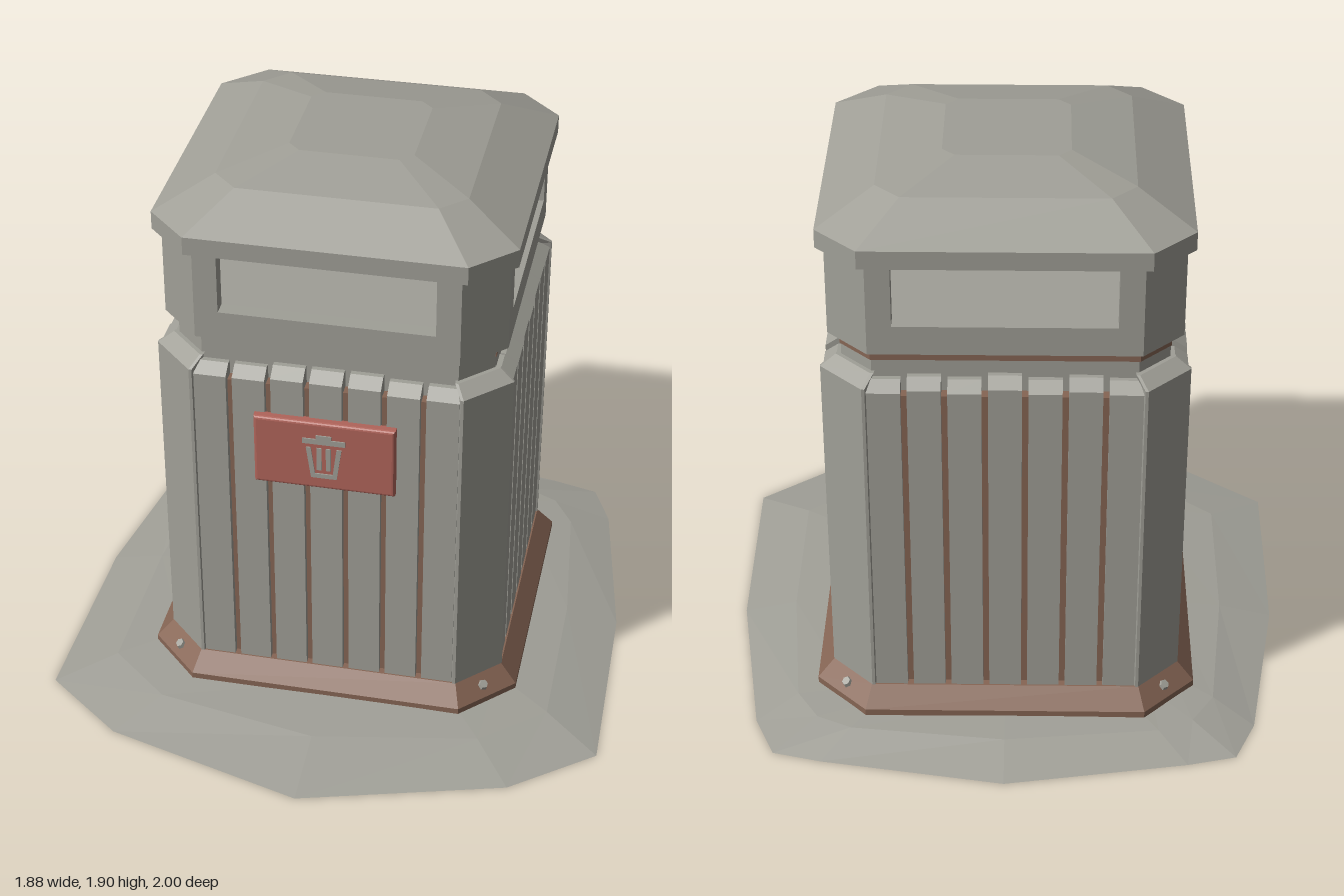
import * as THREE from 'three';

const grey = new THREE.MeshStandardMaterial({ color: 0xa09f97 });
grey.name = 'weathered grey';
const brown = new THREE.MeshStandardMaterial({ color: 0x866554 });
brown.name = 'rust brown';
const red = new THREE.MeshStandardMaterial({ color: 0xb0645a });
red.name = 'sign red';

// Flat-shaded skin through rings of { pts: [x, -z] points, y }
function loft(rings, caps = true) {
  const pos = [];
  const v = (r, i) => {
    const p = r.pts[i % r.pts.length];
    return [p[0], r.y, -p[1]];
  };
  const tri = (a, b, c) => pos.push(...a, ...b, ...c);
  const n = rings[0].pts.length;
  for (let k = 0; k < rings.length - 1; k++) {
    const lo = rings[k], hi = rings[k + 1];
    for (let i = 0; i < n; i++) {
      tri(v(lo, i), v(lo, i + 1), v(hi, i + 1));
      tri(v(lo, i), v(hi, i + 1), v(hi, i));
    }
  }
  if (caps) {
    const lo = rings[0], hi = rings[rings.length - 1];
    for (let i = 1; i < n - 1; i++) {
      tri(v(lo, 0), v(lo, i + 1), v(lo, i));
      tri(v(hi, 0), v(hi, i), v(hi, i + 1));
    }
  }
  const g = new THREE.BufferGeometry();
  g.setAttribute('position', new THREE.Float32BufferAttribute(pos, 3));
  g.computeVertexNormals();
  return g;
}

// Square of half width h with its corners cut by c
const octagon = (h, c, y) => {
  const f = h - c;
  return { y, pts: [[h, -f], [h, f], [f, h], [-f, h], [-h, f], [-h, -f], [-f, -h], [f, -h]] };
};
const octLoft = (...rows) => loft(rows.map((r) => octagon(...r)));
const rect = (x0, x1, z0, z1, y) => ({ y, pts: [[x0, -z1], [x1, -z1], [x1, -z0], [x0, -z0]] });

function add(parent, name, geometry, material) {
  const m = new THREE.Mesh(geometry, material);
  m.name = name;
  parent.add(m);
  return m;
}

// Low mound of earth around the bin, flat underneath
function makeGround(cz) {
  const half = [[0, 1], [0.67, 0.81], [0.94, 0.6], [0.928, -0.1], [0.83, -0.7], [0.76, -0.86], [0.6, -0.9], [0, -1]];
  const outline = [...half, ...half.slice(1, -1).reverse().map(([x, z]) => [-x, z])];
  const toBase = ([x, z], h) => {
    const dz = z - cz, ax = Math.abs(x), az = Math.abs(dz);
    const s = Math.max(ax / h, az / h, (ax + az) / (2 * h - 0.16));
    return [x / s, cz + dz / s];
  };
  const ring = (t, y) => ({
    y,
    pts: outline.map((p) => {
      const q = toBase(p, 0.57);
      return [p[0] + (q[0] - p[0]) * t, -(p[1] + (q[1] - p[1]) * t)];
    }),
  });
  return loft([ring(1, 0.003), ring(0, 0), ring(0.5, 0.04), ring(1, 0.055)], false);
}

function makeSign() {
  const sign = new THREE.Group();
  sign.name = 'sign';
  const plate = new THREE.Shape();
  plate.moveTo(-0.22, -0.117).lineTo(0.22, -0.117).lineTo(0.22, 0.117).lineTo(-0.22, 0.117).closePath();
  add(sign, 'signPlate', new THREE.ExtrudeGeometry(plate, {
    depth: 0.02, bevelThickness: 0.01, bevelSize: 0.01, bevelSegments: 3,
  }), red);

  // Pictogram of a bin: open pail outline, two ribs, lid and handle
  const pail = new THREE.Shape();
  pail.moveTo(-0.042, -0.082).lineTo(0.042, -0.082).lineTo(0.058, 0.034).lineTo(0.042, 0.034)
    .lineTo(0.029, -0.066).lineTo(-0.029, -0.066).lineTo(-0.042, 0.034).lineTo(-0.058, 0.034).closePath();
  add(sign, 'pictogramPail', new THREE.ExtrudeGeometry(pail, { depth: 0.005, bevelEnabled: false }), grey)
    .position.z = 0.029;
  for (const [name, w, h, x, y] of [
    ['pictogramRib', 0.016, 0.085, -0.015, -0.009],
    ['pictogramRib', 0.016, 0.085, 0.015, -0.009],
    ['pictogramLid', 0.14, 0.019, 0, 0.058],
    ['pictogramHandle', 0.05, 0.015, 0, 0.075],
  ]) add(sign, name, new THREE.BoxGeometry(w, h, 0.005), grey).position.set(x, y, 0.0315);
  sign.position.set(0, 1.028, 0.57);
  return sign;
}

export function createModel() {
  const model = new THREE.Group();
  model.name = 'litterBin';
  const cz = -0.088;
  add(model, 'groundMound', makeGround(cz), grey);

  const bin = new THREE.Group();
  bin.name = 'bin';
  bin.position.z = cz;
  model.add(bin);

  // Base skirt, inner core and collar
  add(bin, 'baseSkirt', octLoft([0.632, 0.17, 0], [0.632, 0.17, 0.07], [0.577, 0.135, 0.134]), brown);
  add(bin, 'core', octLoft([0.55, 0.14, 0.12], [0.55, 0.14, 1.25]), brown);
  add(bin, 'collar', octLoft([0.513, 0.1, 1.25], [0.513, 0.1, 1.405]), grey);
  // Rust strip round the sides and back of the collar
  const strip = octagon(0.516, 0.1, 0).pts;
  for (let i = 0; i < 5; i++) {
    const [a, b] = [strip[i], strip[i + 1]];
    const inset = (p) => [p[0] * 0.98, p[1] * 0.98];
    const pts = [a, b, inset(b), inset(a)];
    add(bin, 'collarStrip', loft([{ pts, y: 1.36 }, { pts, y: 1.402 }]), brown);
  }

  // Four sides of slats, corner boards, hood posts and bolts
  const tops = [
    [1.30, 1.30, 1.312, 1.312, 1.312, 1.30, 1.30],
    [1.31, 1.30, 1.32, 1.30, 1.32, 1.31, 1.30],
    [1.30, 1.31, 1.30, 1.315, 1.30, 1.31, 1.30],
    [1.30, 1.31, 1.32, 1.30, 1.32, 1.30, 1.31],
  ];
  const corner = (o, e, y) => ({
    y, pts: [[o, e], [o, e + 0.01], [e + 0.01, o], [e, o], [0.40, 0.49], [0.49, 0.40]],
  });
  const cornerBoard = loft([corner(0.578, 0.431, 0.125), corner(0.578, 0.431, 1.29), corner(0.53, 0.405, 1.32)]);
  const postPts = [[0.553, 0.345], [0.553, 0.422], [0.422, 0.553], [0.345, 0.553], [0.345, 0.503], [0.402, 0.503], [0.503, 0.402], [0.503, 0.345]];
  const post = loft([{ pts: postPts, y: 1.5 }, { pts: postPts, y: 1.715 }], false);
  const bolt = new THREE.CylinderGeometry(0.015, 0.02, 0.018, 6).toNonIndexed();
  bolt.computeVertexNormals();
  const boltAxis = new THREE.Vector3(0.53, 1, 0.53).normalize();
  for (let s = 0; s < 4; s++) {
    const side = new THREE.Group();
    side.name = 'side';
    side.rotation.y = s * Math.PI / 2;
    bin.add(side);
    tops[s].forEach((top, i) => {
      const x = (i - 3) * 0.125, w = 0.0525;
      add(side, 'slat', loft([
        rect(x - w, x + w, 0.505, 0.572, 0.125),
        rect(x - w, x + w, 0.505, 0.572, top - 0.028),
        rect(x - w, x + w, 0.505, 0.53, top),
      ]), grey);
    });
    add(side, 'cornerBoard', cornerBoard, grey);
    add(side, 'hoodPost', post, grey);
    const head = add(side, 'bolt', bolt, grey);
    head.position.set(0.529, 0.104, 0.529);
    head.quaternion.setFromUnitVectors(new THREE.Vector3(0, 1, 0), boltAxis);
  }

  // Hood sill with a sunken floor
  add(bin, 'hoodSill', octLoft(
    [0.5, 0.1, 1.402], [0.553, 0.131, 1.402], [0.553, 0.131, 1.5], [0.503, 0.101, 1.5], [0.503, 0.101, 1.42],
  ), grey);
  // Stepped domed lid
  add(bin, 'lid', octLoft(
    [0.578, 0.135, 1.712], [0.578, 0.135, 1.773], [0.4, 0.08, 1.862], [0.2, 0.04, 1.905],
  ), grey);

  bin.add(makeSign());
  return model;
}
